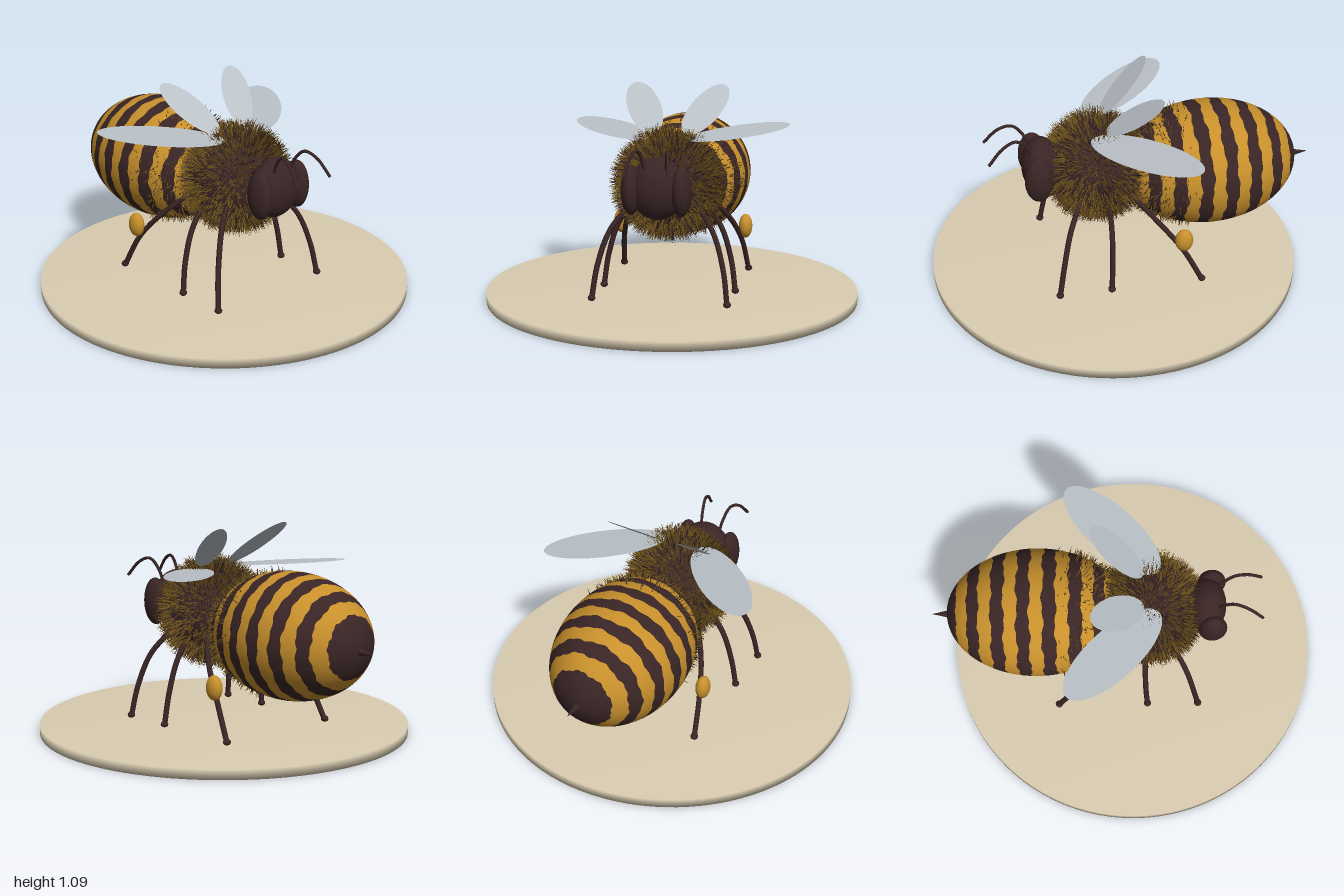
import * as THREE from 'three';
import { mergeGeometries } from 'three/addons/utils/BufferGeometryUtils.js';
import { ParametricGeometry } from 'three/addons/geometries/ParametricGeometry.js';

const paint = (name, color, side = THREE.FrontSide) => {
  const m = new THREE.MeshStandardMaterial({ color, side });
  m.name = name;
  return m;
};

export function createModel() {
  const dark = paint('dark brown', 0x3a2525);
  const gold = paint('honey gold', 0xc8902c);
  const furMat = paint('olive fur', 0x7a5d1c, THREE.DoubleSide);
  const wingMat = paint('pale wing grey', 0xbac1c7, THREE.DoubleSide);
  const stone = paint('sand', 0xdacdb2);

  const model = new THREE.Group();
  model.name = 'bee';
  const V = (x, y, z) => new THREE.Vector3(x, y, z);
  const add = (name, geo, mat) => {
    const mesh = new THREE.Mesh(geo, mat);
    mesh.name = name;
    model.add(mesh);
    return mesh;
  };
  const ellipsoid = (name, mat, c, r, seg = 32) => {
    const mesh = add(name, new THREE.SphereGeometry(1, seg, Math.round(seg * 0.7)), mat);
    mesh.position.set(...c);
    mesh.scale.set(...r);
    return mesh;
  };
  const tube = (name, points, radius) =>
    add(name, new THREE.TubeGeometry(new THREE.CatmullRomCurve3(points), 20, radius, 8), dark);

  let seed = 7;
  const rnd = () => {
    seed = (seed * 1664525 + 1013904223) % 4294967296;
    return seed / 4294967296;
  };

  // Round base, softly shaded like a pebble
  const rim = [[0, 0], [0.96, 0], [0.96, 0.05], [0, 0.05]].map(([x, y]) => new THREE.Vector2(x, y));
  add('base', new THREE.LatheGeometry(rim, 96), stone).position.x = 0.04;

  // Abdomen: an ellipsoid along x, cut into bands with slightly wavy borders
  const A = { c: V(-0.455, 0.565, 0), r: V(0.465, 0.32, 0.33) };
  const borders = [-0.86, -0.8, -0.74, -0.675, -0.61, -0.545, -0.48, -0.415, -0.35, -0.285, -0.22, -0.16, -0.105];
  const angles = [0.01, ...borders.map(x => Math.acos((A.c.x - x) / A.r.x)), Math.PI - 0.01];
  const edge = (i, a) => angles[i] + (i === 0 || i === angles.length - 1 ? 0
    : 0.012 * Math.sin(9 * a + i * 2) + 0.008 * Math.sin(23 * a + i * 5));
  const bands = [[], []];
  for (let i = 0; i < angles.length - 1; i++) {
    bands[i % 2].push(new ParametricGeometry((u, v, p) => {
      const a = u * Math.PI * 2;
      const t = THREE.MathUtils.lerp(edge(i, a), edge(i + 1, a), v);
      p.set(A.c.x - A.r.x * Math.cos(t), A.c.y + A.r.y * Math.sin(t) * Math.cos(a), A.r.z * Math.sin(t) * Math.sin(a));
    }, 96, 5));
  }
  add('abdomenDarkBands', mergeGeometries(bands[0]), dark);
  add('abdomenGoldBands', mergeGeometries(bands[1]), gold);

  const stinger = add('stinger', new THREE.ConeGeometry(0.024, 0.11, 16), dark);
  stinger.rotation.z = Math.PI / 2;
  stinger.position.set(-0.945, 0.552, 0);

  // Thorax and head
  const T = { c: V(0.13, 0.615, 0), r: V(0.235, 0.24, 0.24) };
  ellipsoid('thorax', dark, T.c.toArray(), T.r.toArray(), 40);
  ellipsoid('head', dark, [0.415, 0.645, 0], [0.1, 0.155, 0.14]);

  // Fur: thin three-sided spikes standing on an ellipsoid
  const spike = new THREE.ConeGeometry(0.0032, 1, 3, 1, true).translate(0, 0.5, 0);
  const up = V(0, 1, 0);
  const hairs = { olive: [], brown: [] };
  const growFur = (body, count, length, keep) => {
    for (let i = 0; i < count; i++) {
      const h = rnd() * 2 - 1, a = rnd() * Math.PI * 2, s = Math.sqrt(1 - h * h);
      const n = V(h, s * Math.cos(a), s * Math.sin(a));
      const root = n.clone().multiply(body.r).add(body.c);
      if (!keep(root)) continue;
      const dir = n.divide(body.r).normalize()
        .add(V(rnd() - 0.5, rnd() - 0.5, rnd() - 0.5).multiplyScalar(0.6)).normalize();
      const m = new THREE.Matrix4().compose(root, new THREE.Quaternion().setFromUnitVectors(up, dir),
        V(1, length * (0.6 + 0.6 * rnd()), 1));
      (rnd() < 0.65 ? hairs.olive : hairs.brown).push(spike.clone().applyMatrix4(m));
    }
  };
  growFur(T, 6500, 0.065, () => true);
  growFur(A, 6500, 0.035, p => rnd() < (p.x + 0.35) / 0.3);
  add('oliveFur', mergeGeometries(hairs.olive), furMat);
  add('brownFur', mergeGeometries(hairs.brown), dark);

  // Wings: flat ellipses in a plane that rises towards the tail
  const wing = (name, c, slope, spin, length, width, side) => {
    const e1 = V(-1, slope, 0).normalize(), e2 = V(0, 0, side);
    const geo = new THREE.CircleGeometry(1, 48).scale(length, width, 1).rotateZ(spin);
    geo.applyMatrix4(new THREE.Matrix4().makeBasis(e1, e2, e1.clone().cross(e2)));
    add(name, geo.translate(c[0], c[1], c[2] * side), wingMat);
  };

  // Mirrored parts: the bee faces +x, so its sides lie at +z and -z
  for (const s of [1, -1]) {
    const tag = s > 0 ? 'Near' : 'Far';
    ellipsoid('eye' + tag, dark, [0.443, 0.64, 0.125 * s], [0.073, 0.125, 0.05]);

    tube('antenna' + tag, [V(0.46, 0.7, 0.05 * s), V(0.485, 0.79, 0.06 * s), V(0.545, 0.853, 0.075 * s),
      V(0.615, 0.83, 0.092 * s), V(0.69, 0.75, 0.11 * s)], 0.008);

    wing('forewing' + tag, [-0.065, 0.86, 0.33], 0.07, 0.77, 0.32, 0.125, s);
    wing('hindwing' + tag, [-0.04, 0.975, 0.16], 0.85, 0.43, 0.188, 0.085, s);

    // Each leg: hip, knee and foot as [x, y, z]
    const legs = {
      front: [[0.23, 0.54, 0.16], [0.31, 0.4, 0.265], [0.355, 0.23, 0.32], [0.385, 0.06, 0.345]],
      middle: [[0.1, 0.54, 0.16], [0.1, 0.4, 0.265], [0.105, 0.23, 0.32], [0.115, 0.06, 0.345]],
      hind: [[0.0, 0.54, 0.16], [-0.14, 0.4, 0.265], [-0.26, 0.25, 0.32], [-0.36, 0.06, 0.345]],
    };
    for (const [name, pts] of Object.entries(legs)) {
      tube(name + 'Leg' + tag, pts.map(([x, y, z]) => V(x, y, z * s)), 0.014);
      const [x, y, z] = pts[3];
      ellipsoid(name + 'Foot' + tag, dark, [x, y + 0.005, z * s], [0.02, 0.016, 0.02], 12);
    }
    ellipsoid('pollenBasket' + tag, gold, [-0.262, 0.32, 0.34 * s], [0.047, 0.064, 0.036], 24);
  }
  return model;
}
